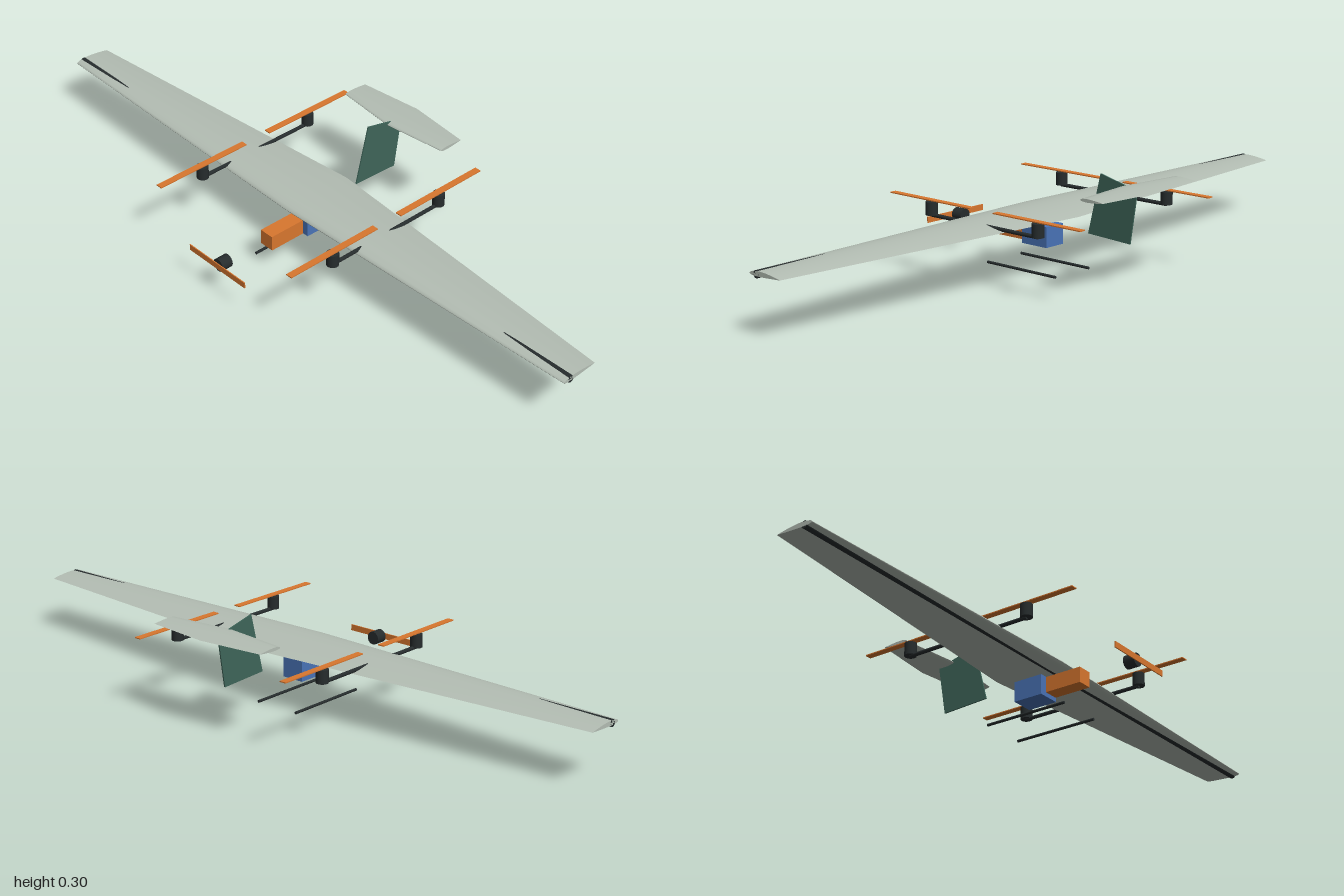
import * as THREE from 'three';
import { toCreasedNormals } from 'three/addons/utils/BufferGeometryUtils.js';

const paint = (color) => new THREE.MeshStandardMaterial({ color });
const skin = paint(0xb4beb4), carbon = paint(0x262c2d), finGreen = paint(0x3f665a);
const orange = paint(0xd9772f), blue = paint(0x4a74b8);

// Closed airfoil outline on a unit chord: tail, over the top, nose, back underneath
function airfoil(thickness, camber, n = 16) {
  const pts = [];
  for (let i = 0; i < 2 * n; i++) {
    const a = (i / n) * Math.PI, x = (1 + Math.cos(a)) / 2;
    const half = 5 * thickness * (0.2969 * Math.sqrt(x) - 0.126 * x - 0.3516 * x ** 2
      + 0.2843 * x ** 3 - 0.1036 * x ** 4);
    const p = 0.4, q = x < p ? p : 1 - p;
    const mid = (camber / q ** 2) * ((x < p ? 0 : 1 - 2 * p) + 2 * p * x - x * x);
    pts.push([x, mid + (i <= n ? half : -half)]);
  }
  return pts;
}

// Skins an airfoil through stations [z, leadingX, trailingX] and caps both ends
function loft(profile, stations, y) {
  const pos = [], idx = [], n = profile.length;
  for (const [z, lead, trail] of stations) {
    const chord = trail - lead;
    for (const [u, v] of profile) pos.push(lead + u * chord, y + v * chord, z);
  }
  for (let s = 0; s < stations.length - 1; s++) {
    for (let i = 0; i < n; i++) {
      const a = s * n + i, b = s * n + ((i + 1) % n);
      idx.push(a, b, b + n, a, b + n, a + n);
    }
  }
  [0, stations.length - 1].forEach((s) => {
    const [z, lead, trail] = stations[s], c = pos.length / 3;
    pos.push(lead + 0.4 * (trail - lead), y, z);
    for (let i = 0; i < n; i++) {
      const a = s * n + i, b = s * n + ((i + 1) % n);
      if (s) idx.push(c, a, b); else idx.push(c, b, a);
    }
  });
  const g = new THREE.BufferGeometry();
  g.setAttribute('position', new THREE.Float32BufferAttribute(pos, 3));
  g.setIndex(idx);
  return toCreasedNormals(g, 0.7);
}

export function createModel() {
  const model = new THREE.Group();
  const add = (name, geometry, material, x = 0, y = 0, z = 0) => {
    const mesh = new THREE.Mesh(geometry, material);
    mesh.name = name;
    mesh.position.set(x, y, z);
    model.add(mesh);
    return mesh;
  };
  const box = (name, mat, size, at) => add(name, new THREE.BoxGeometry(...size), mat, ...at);
  const rod = (name, axis, r, length, at) => {
    const g = new THREE.CylinderGeometry(r, r, length, 24);
    if (axis === 'x') g.rotateZ(Math.PI / 2);
    if (axis === 'z') g.rotateX(Math.PI / 2);
    return add(name, g, carbon, ...at);
  };

  // Tapered main wing with its spar breaking the surface
  add('wing', loft(airfoil(0.12, 0.02),
    [[-1, -0.1, 0.015], [0, -0.128, 0.1], [1, -0.1, 0.015]], 0.167), skin);
  rod('wingSpar', 'z', 0.0105, 2, [-0.075, 0.167, 0]);

  // Lift booms, each with two motors and two propellers
  for (const side of [1, -1]) {
    const z = 0.27 * side;
    rod('boom', 'x', 0.0055, 0.4, [-0.0035, 0.173, z]);
    for (const x of [-0.203, 0.196]) {
      rod('liftMotor', 'y', 0.0175, 0.038, [x, 0.192, z]);
      box('liftPropeller', orange, [0.312, 0.003, 0.02], [x, 0.2155, z]);
    }
    rod('landingSkid', 'x', 0.004, 0.26, [-0.052, 0.004, 0.07 * side]);
  }

  // Tail fin plate
  const outline = new THREE.Shape([[0.138, 0.127], [0.288, 0.12], [0.312, 0.271], [0.182, 0.302]]
    .map(([x, y]) => new THREE.Vector2(x, y)));
  add('tailFin', new THREE.ExtrudeGeometry(outline, { depth: 0.004, bevelEnabled: false }),
    finGreen, 0, 0, -0.002);

  // Tailplane
  add('tailplane', loft(airfoil(0.12, 0),
    [[-0.195, 0.278, 0.357], [0, 0.257, 0.378], [0.195, 0.278, 0.357]], 0.275), skin);

  // Nose motor and propeller
  rod('noseMotor', 'x', 0.0195, 0.035, [-0.3585, 0.104, 0]);
  box('nosePropeller', orange, [0.003, 0.018, 0.23], [-0.38, 0.104, 0]);

  // Battery and payload
  box('battery', orange, [0.115, 0.046, 0.046], [-0.1445, 0.1, 0]);
  box('payload', blue, [0.092, 0.06, 0.07], [-0.034, 0.1, 0]);

  return model;
}
